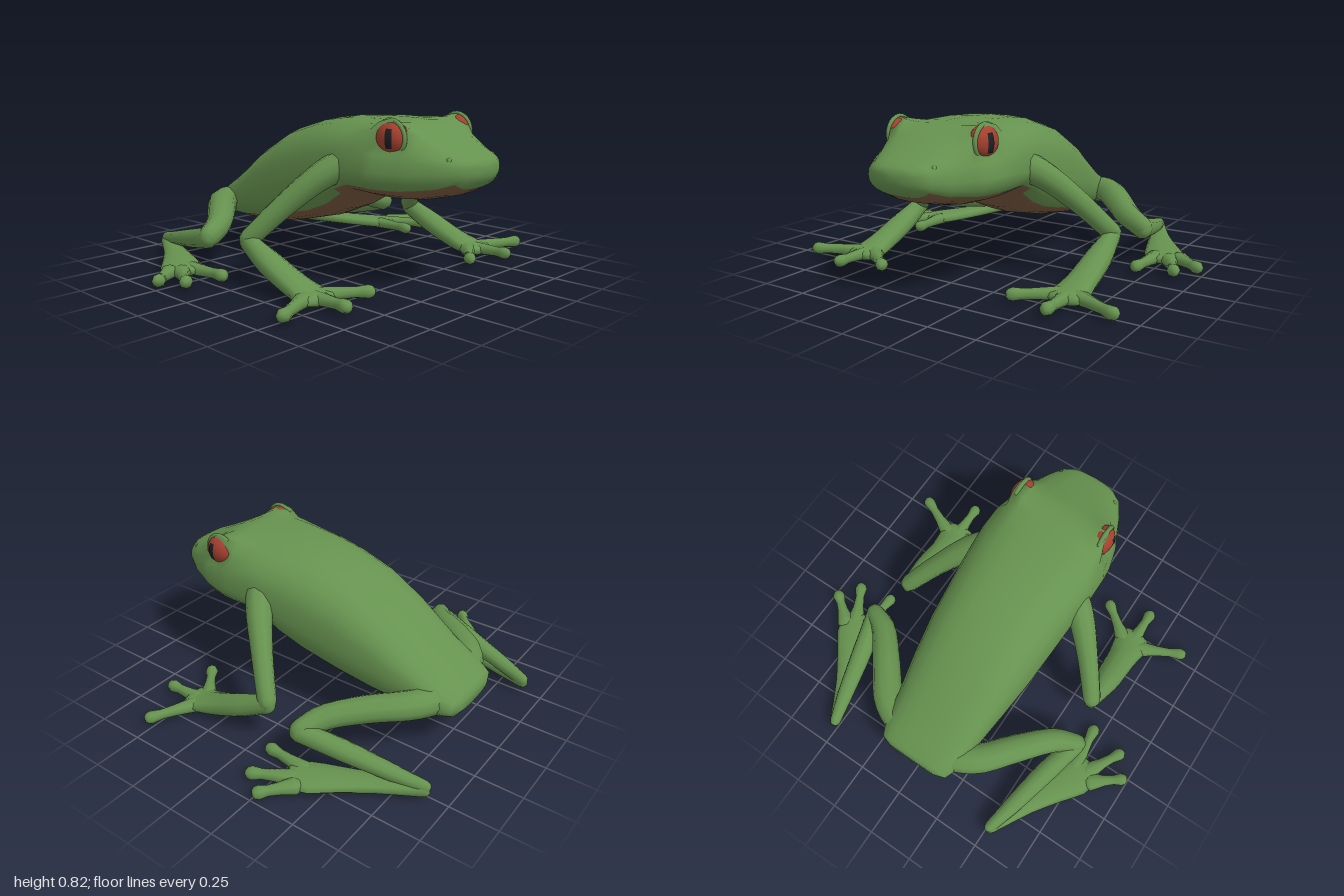
import * as THREE from 'three';

const mat = (name, color) => Object.assign(new THREE.MeshStandardMaterial({ color }), { name });

// Skin a list of rings (each turning counter-clockwise about the travel direction), closing both ends.
function loft(rings, materialOf = () => 0) {
  const n = rings[0].length, last = rings.length - 1, lists = [[], []];
  const pts = rings.flat();
  const centre = ring => ring.reduce((s, p) => s.add(p), new THREE.Vector3()).divideScalar(n);
  const start = pts.push(centre(rings[0])) - 1;
  const end = pts.push(centre(rings[last])) - 1;
  for (let j = 0; j < n; j++) {
    const k = (j + 1) % n;
    lists[0].push(start, k, j, end, last * n + j, last * n + k);
    for (let i = 0; i < last; i++) {
      const a = i * n + j, b = i * n + k;
      lists[materialOf(i, j)].push(a, b, a + n, b, b + n, a + n);
    }
  }
  const geo = new THREE.BufferGeometry().setFromPoints(pts);
  geo.setIndex([...lists[0], ...lists[1]]);
  if (lists[1].length) {
    geo.addGroup(0, lists[0].length, 0);
    geo.addGroup(lists[0].length, lists[1].length, 1);
  }
  geo.computeVertexNormals();
  return geo;
}

// Rounded limb through points [x, y, z, half width, half height].
function limb(points, steps = 10, sides = 10) {
  const curve = new THREE.CatmullRomCurve3(points.map(p => new THREE.Vector3(p[0], p[1], p[2])));
  const rings = [];
  const ring = (t, shrink, push) => {
    const f = t * (points.length - 1), i = Math.min(Math.floor(f), points.length - 2);
    const w = THREE.MathUtils.lerp(points[i][3], points[i + 1][3], f - i);
    const h = THREE.MathUtils.lerp(points[i][4], points[i + 1][4], f - i);
    const dir = curve.getTangent(t);
    const side = new THREE.Vector3(0, 1, 0).cross(dir).normalize();
    const up = dir.clone().cross(side);
    const c = curve.getPoint(t).addScaledVector(dir, push * Math.min(w, h));
    rings.push(Array.from({ length: sides }, (_, j) => {
      const a = j / sides * Math.PI * 2;
      return c.clone().addScaledVector(side, Math.cos(a) * w * shrink)
        .addScaledVector(up, Math.sin(a) * h * shrink);
    }));
  };
  ring(0, 0.4, -0.92);
  ring(0, 0.8, -0.6);
  for (let i = 0; i <= steps; i++) ring(i / steps, 1, 0);
  ring(1, 0.8, 0.6);
  ring(1, 0.4, 0.92);
  return loft(rings);
}

function ellipsoid(x, y, z, rx, ry, rz, ...arc) {
  return new THREE.SphereGeometry(1, 20, 14, ...arc).scale(rx, ry, rz).translate(x, y, z);
}

// Copy across x = 0, turning the triangles back outward.
function mirrored(geo) {
  const copy = geo.clone().scale(-1, 1, 1), ix = copy.index;
  for (let i = 0; i < ix.count; i += 3) {
    const b = ix.getX(i + 1);
    ix.setX(i + 1, ix.getX(i + 2));
    ix.setX(i + 2, b);
  }
  return copy;
}

// Slim digit with a round pad at its tip.
function digit(base, tip) {
  const at = t => base.map((v, i) => THREE.MathUtils.lerp(v, tip[i], t));
  return limb([[...at(0), 0.05, 0.034], [...at(0.45), 0.03, 0.03],
    [...at(0.75), 0.025, 0.027], [...at(1), 0.034, 0.034]], 9, 8);
}

export function createModel() {
  const model = new THREE.Group();
  const green = mat('green skin', 0x66924f);
  const brown = mat('brown belly', 0x7a5b40);
  const red = mat('red iris', 0xa5402f);
  const black = mat('dark pupil', 0x1c1f24);

  const add = (name, geo, material) => {
    const mesh = new THREE.Mesh(geo, material);
    mesh.name = name;
    model.add(mesh);
  };
  const pair = (name, geo, material) => {
    add('left' + name, geo, material);
    add('right' + name, mirrored(geo), material);
  };

  // Body and head: z, top, widest height, bottom, half width
  const stations = [
    [-0.84, 0.3, 0.27, 0.235, 0.14], [-0.82, 0.325, 0.27, 0.21, 0.2],
    [-0.75, 0.37, 0.28, 0.19, 0.23], [-0.6, 0.47, 0.32, 0.18, 0.25],
    [-0.4, 0.62, 0.39, 0.185, 0.28], [-0.2, 0.73, 0.45, 0.22, 0.305],
    [0, 0.79, 0.5, 0.27, 0.32], [0.14, 0.81, 0.54, 0.33, 0.33],
    [0.24, 0.815, 0.56, 0.41, 0.335], [0.32, 0.82, 0.58, 0.45, 0.34],
    [0.45, 0.82, 0.59, 0.44, 0.34], [0.51, 0.82, 0.59, 0.44, 0.335],
    [0.57, 0.815, 0.59, 0.44, 0.32], [0.63, 0.79, 0.59, 0.445, 0.303],
    [0.68, 0.765, 0.59, 0.455, 0.28], [0.78, 0.715, 0.59, 0.48, 0.235],
    [0.86, 0.68, 0.60, 0.52, 0.185], [0.895, 0.66, 0.61, 0.55, 0.13],
    [0.91, 0.64, 0.61, 0.58, 0.06],
  ];
  const sides = 24;
  // Brow ridge and eye socket: sideways and upward shift by steps above the widest line
  const eyeShift = { 1: [-0.02, 0], 2: [-0.045, 0], 3: [0.02, 0.075], 4: [0.01, 0.025] };
  const rings = stations.map(([z, top, mid, bottom, w]) => Array.from({ length: sides }, (_, j) => {
    const a = j / sides * Math.PI * 2, c = Math.cos(a), s = Math.sin(a);
    const p = s > 0 ? 0.75 : 0.85;
    const bend = v => Math.sign(v) * Math.abs(v) ** p;
    const [out, up] = eyeShift[j <= 6 ? j : 12 - j] ?? [0, 0];
    const near = Math.exp(-(((z - 0.56) / 0.085) ** 2));
    return new THREE.Vector3(w * bend(c) + Math.sign(c) * out * near,
      mid + bend(s) * (s > 0 ? top - mid : mid - bottom) + up * near, z);
  }));
  // The brown reaches higher on the throat than on the belly
  const belly = (i, j) => {
    const wide = i >= 8 ? 1 : 0;
    return i >= 2 && i < 16 && j >= 15 - wide && j < 21 + wide ? 1 : 0;
  };
  add('body', loft(rings, belly), [green, brown]);

  // Eyes, lids and nostrils
  pair('Eye', ellipsoid(0.24, 0.747, 0.56, 0.06, 0.078, 0.085), red);
  pair('Pupil', ellipsoid(0.24, 0.747, 0.56, 0.063, 0.081, 0.088,
    Math.PI - 0.5, 0.42, Math.PI / 2 - 0.6, 1.2), black);
  pair('EyeLid', new THREE.TorusGeometry(0.081, 0.012, 8, 24).rotateY(Math.PI / 2)
    .translate(0.25, 0.747, 0.56), green);
  pair('Nostril', ellipsoid(0.165, 0.655, 0.825, 0.014, 0.017, 0.014), green);

  // Front legs
  pair('UpperArm', limb([[0.25, 0.61, 0.29, 0.08, 0.08], [0.35, 0.55, 0.22, 0.07, 0.07],
    [0.48, 0.41, 0.1, 0.055, 0.058], [0.605, 0.24, -0.03, 0.048, 0.05]]), green);
  pair('Forearm', limb([[0.61, 0.225, -0.035, 0.04, 0.05], [0.615, 0.15, 0.13, 0.07, 0.058],
    [0.615, 0.08, 0.31, 0.08, 0.05], [0.615, 0.053, 0.42, 0.1, 0.036],
    [0.62, 0.05, 0.47, 0.095, 0.032]], 14), green);
  for (const [name, base, tip] of [
    ['FrontInnerToe', [0.57, 0.052, 0.42], [0.395, 0.055, 0.56]],
    ['FrontMiddleToe', [0.615, 0.052, 0.44], [0.617, 0.055, 0.63]],
    ['FrontOuterToe', [0.66, 0.052, 0.42], [0.88, 0.055, 0.525]],
  ]) pair(name, digit(base, tip), green);

  // Hind legs
  pair('Thigh', limb([[0.14, 0.28, -0.72, 0.08, 0.075], [0.28, 0.295, -0.65, 0.08, 0.07],
    [0.42, 0.285, -0.49, 0.075, 0.066], [0.56, 0.25, -0.335, 0.065, 0.062],
    [0.66, 0.215, -0.28, 0.052, 0.06]], 14), green);
  pair('Shank', limb([[0.665, 0.21, -0.28, 0.05, 0.055], [0.605, 0.16, -0.5, 0.056, 0.05],
    [0.555, 0.115, -0.72, 0.045, 0.038], [0.515, 0.08, -0.88, 0.03, 0.035]]), green);
  pair('HindFoot', limb([[0.52, 0.065, -0.88, 0.03, 0.035], [0.615, 0.055, -0.65, 0.062, 0.033],
    [0.74, 0.05, -0.41, 0.11, 0.032], [0.79, 0.05, -0.33, 0.09, 0.028]]), green);
  for (const [name, base, tip] of [
    ['HindInnerToe', [0.72, 0.05, -0.35], [0.7, 0.053, -0.13]],
    ['HindMiddleToe', [0.79, 0.05, -0.34], [0.885, 0.053, -0.165]],
    ['HindOuterToe', [0.83, 0.05, -0.38], [0.965, 0.053, -0.275]],
  ]) pair(name, digit(base, tip), green);

  return model;
}
